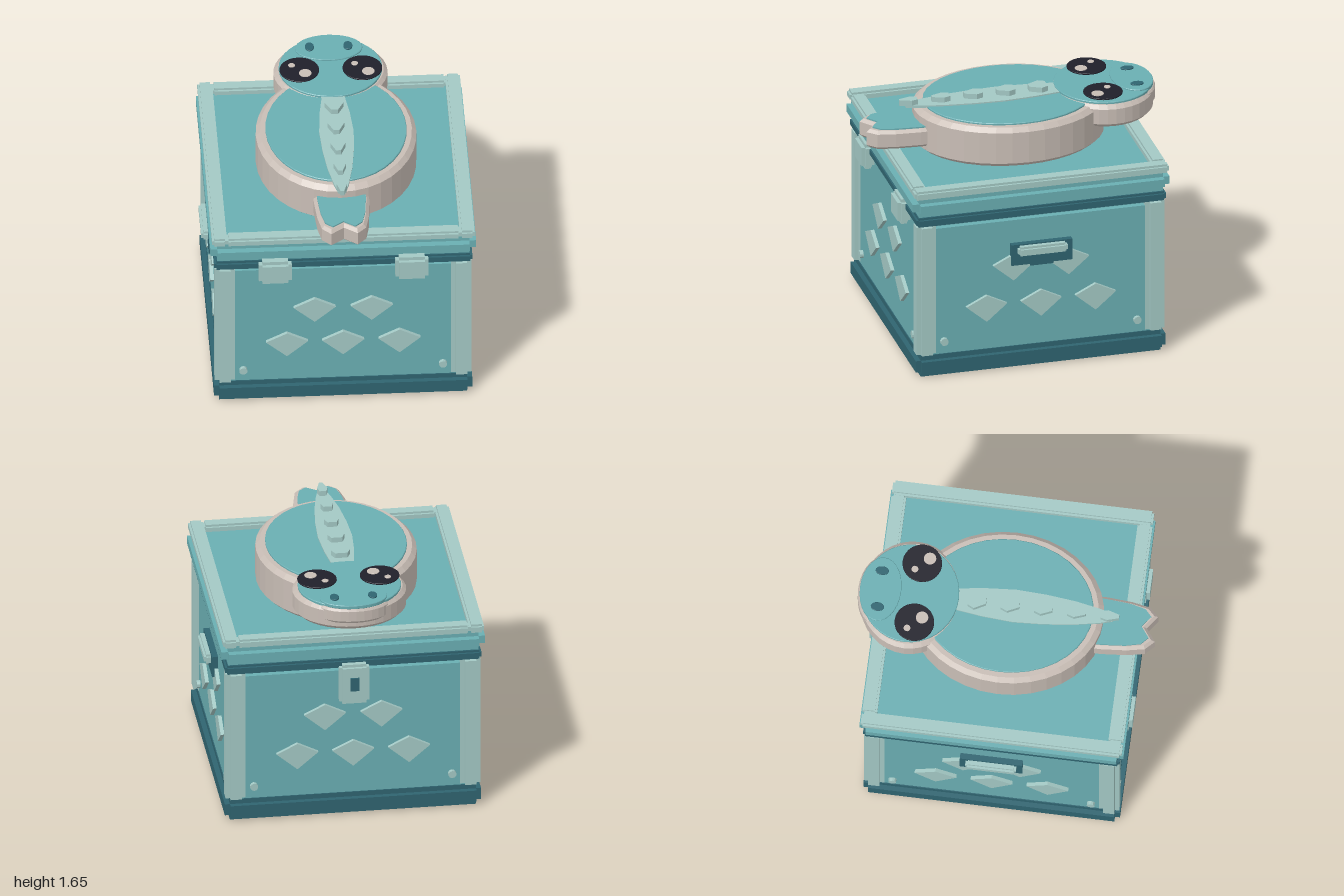
import * as THREE from 'three';

const mat = (name, color) => {
  const m = new THREE.MeshStandardMaterial({ color });
  m.name = name;
  return m;
};

export function createModel() {
  const teal = mat('teal', 0x6aaeb2), pale = mat('paleTeal', 0xa3c8c4), dark = mat('darkTeal', 0x2f6470);
  const beige = mat('beige', 0xc8bdb5), black = mat('eyeBlack', 0x1f1f2a);
  const model = new THREE.Group();

  const mesh = (name, geo, material, parent = model) => {
    const flat = geo.index ? geo.toNonIndexed() : geo;
    flat.computeVertexNormals();
    const m = new THREE.Mesh(flat, material);
    m.name = name;
    parent.add(m);
    return m;
  };

  // Box with stepped edges, made of three crossing boxes
  const stepBox = (name, material, [w, h, d], [x, y, z], s, parent = model) => {
    const g = new THREE.Group();
    g.name = name;
    g.position.set(x, y, z);
    const t = 2 * s;
    [[w, h - t, d - t], [w - t, h, d - t], [w - t, h - t, d]].forEach((b) =>
      mesh(name + 'Block', new THREE.BoxGeometry(...b), material, g));
    parent.add(g);
    return g;
  };

  // Upright elliptical disc with bevelled rims
  const disc = (name, material, rx, rz, y0, y1, bevel, x = 0, z = 0, sides = 36) => {
    const p = [[0, y0], [rx - bevel, y0], [rx, y0 + bevel], [rx, y1 - bevel], [rx - bevel, y1], [0, y1]];
    const geo = new THREE.LatheGeometry(p.map((q) => new THREE.Vector2(...q)), sides);
    geo.scale(1, 1, rz / rx);
    return mesh(name, geo.translate(x, 0, z), material);
  };

  // Horizontal plate from (x, z) points of its right half, mirrored in x
  const plate = (name, material, half, y0, y1, bevel = 0) => {
    const pts = [...half, ...half.slice().reverse().filter((p) => p[0] > 0).map(([x, z]) => [-x, z])];
    const shape = new THREE.Shape(pts.map((p) => new THREE.Vector2(...p)));
    const geo = new THREE.ExtrudeGeometry(shape, {
      depth: y1 - y0 - 2 * bevel, bevelEnabled: bevel > 0, bevelThickness: bevel,
      bevelSize: bevel, bevelOffset: -bevel, bevelSegments: 1,
    });
    geo.rotateX(Math.PI / 2).translate(0, y1 - bevel, 0);
    return mesh(name, geo, material);
  };

  // Chest: base, body, dark rim, lid
  stepBox('base', dark, [1.72, 0.15, 1.72], [0, 0.075, 0], 0.034);
  stepBox('body', teal, [1.64, 1.0, 1.64], [0, 0.605, 0], 0.04);
  stepBox('rim', dark, [1.72, 0.066, 1.72], [0, 1.132, 0], 0.015);
  stepBox('lid', teal, [1.77, 0.145, 1.77], [0, 1.24, 0], 0.045);

  // Corner posts
  for (const sx of [-1, 1]) for (const sz of [-1, 1]) {
    const post = new THREE.Group();
    post.name = 'cornerPost';
    post.position.set(sx * 0.7875, 0.625, sz * 0.7875);
    mesh('postBlock', new THREE.BoxGeometry(0.135, 0.93, 0.075), pale, post);
    mesh('postBlock', new THREE.BoxGeometry(0.075, 0.93, 0.135), pale, post);
    model.add(post);
  }

  // Lid rails
  for (const s of [-1, 1]) {
    stepBox('sideRail', pale, [0.1, 0.062, 1.75], [s * 0.825, 1.335, 0], 0.015);
    stepBox('crossRail', pale, [1.56, 0.06, 0.1], [0, 1.334, s * 0.825], 0.015);
  }

  // Kite scales and bolts on each wall
  const kite = new THREE.Shape([[0, 0.06], [-0.14, -0.01], [0, -0.13], [0.14, -0.01]].map((p) => new THREE.Vector2(...p)));
  for (let i = 0; i < 4; i++) {
    const wall = new THREE.Group();
    wall.name = 'wallDetails';
    wall.rotation.y = i * Math.PI / 2;
    model.add(wall);
    for (const [x, y] of [[-0.19, 0.765], [0.19, 0.765], [-0.375, 0.485], [0, 0.485], [0.375, 0.485]]) {
      const geo = new THREE.ExtrudeGeometry(kite, { depth: 0.035, bevelEnabled: false });
      mesh('scale', geo.translate(x, y, 0.81), pale, wall);
    }
    for (const x of [-0.665, 0.665]) {
      const geo = new THREE.CylinderGeometry(0.027, 0.027, 0.04, 10).rotateX(Math.PI / 2);
      mesh('bolt', geo.translate(x, 0.24, 0.825), pale, wall);
    }
  }

  // Front hinges, side handles, rear latch
  for (const s of [-1, 1]) {
    stepBox('hinge', pale, [0.22, 0.18, 0.09], [s * 0.455, 1.087, 0.863], 0.024);
    mesh('handlePlate', new THREE.BoxGeometry(0.05, 0.15, 0.42).translate(s * 0.835, 0.825, 0), dark);
    mesh('handlePlateTab', new THREE.BoxGeometry(0.04, 0.03, 0.16).translate(s * 0.835, 0.75, 0), dark);
    stepBox('handle', pale, [0.06, 0.065, 0.34], [s * 0.877, 0.86, 0], 0.015);
  }
  stepBox('latch', pale, [0.2, 0.29, 0.09], [0, 0.995, -0.868], 0.02);
  mesh('keySlot', new THREE.BoxGeometry(0.06, 0.095, 0.02).translate(0, 1.003, -0.914), dark);

  // Creature on the lid: body, head, muzzle
  disc('creatureBody', beige, 0.535, 0.645, 1.31, 1.592, 0.03);
  disc('backPlate', teal, 0.47, 0.575, 1.58, 1.605, 0.004);
  disc('creatureHead', beige, 0.38, 0.34, 1.45, 1.607, 0.025, 0, -0.645);
  disc('facePlate', teal, 0.345, 0.325, 1.6, 1.622, 0.004, 0, -0.65);
  disc('muzzle', beige, 0.245, 0.15, 1.505, 1.607, 0.015, 0, -0.85, 28);
  disc('muzzlePlate', teal, 0.225, 0.138, 1.605, 1.632, 0.004, 0, -0.85, 28);

  // Nostrils and eyes
  for (const s of [-1, 1]) {
    disc('nostril', dark, 0.03, 0.045, 1.63, 1.641, 0.002, s * 0.128, -0.855, 16);
    disc('eye', black, 0.132, 0.132, 1.638, 1.648, 0.002, s * 0.21, -0.597, 28);
    disc('largeGlint', beige, 0.042, 0.042, 1.648, 1.654, 0.001, s * 0.21 + 0.037, -0.55, 18);
    disc('smallGlint', beige, 0.023, 0.023, 1.648, 1.654, 0.001, s * 0.21 - 0.049, -0.64, 14);
  }

  // Tail with a forked tip
  plate('tail', beige, [[0.185, 0.5], [0.185, 0.65], [0.172, 0.82], [0.148, 0.94], [0.088, 1.0], [0, 0.935]], 1.37, 1.503, 0.02);
  plate('tailPlate', teal, [[0.162, 0.5], [0.162, 0.65], [0.148, 0.81], [0.124, 0.91], [0.075, 0.955], [0, 0.9]], 1.49, 1.512);

  // Back stripe and spikes
  plate('stripe', pale, [[0.075, -0.34], [0.1, -0.16], [0.115, 0.05], [0.105, 0.25], [0.083, 0.45], [0.05, 0.62], [0.025, 0.71]], 1.598, 1.614);
  for (let i = 0; i < 5; i++) {
    const w = 0.063 - i * 0.007, z = -0.263 + i * 0.2225;
    plate('spike', pale, [[w * 0.65, z], [w, z + 0.045], [w * 0.35, z + 0.122]], 1.61, 1.65);
  }
  return model;
}
